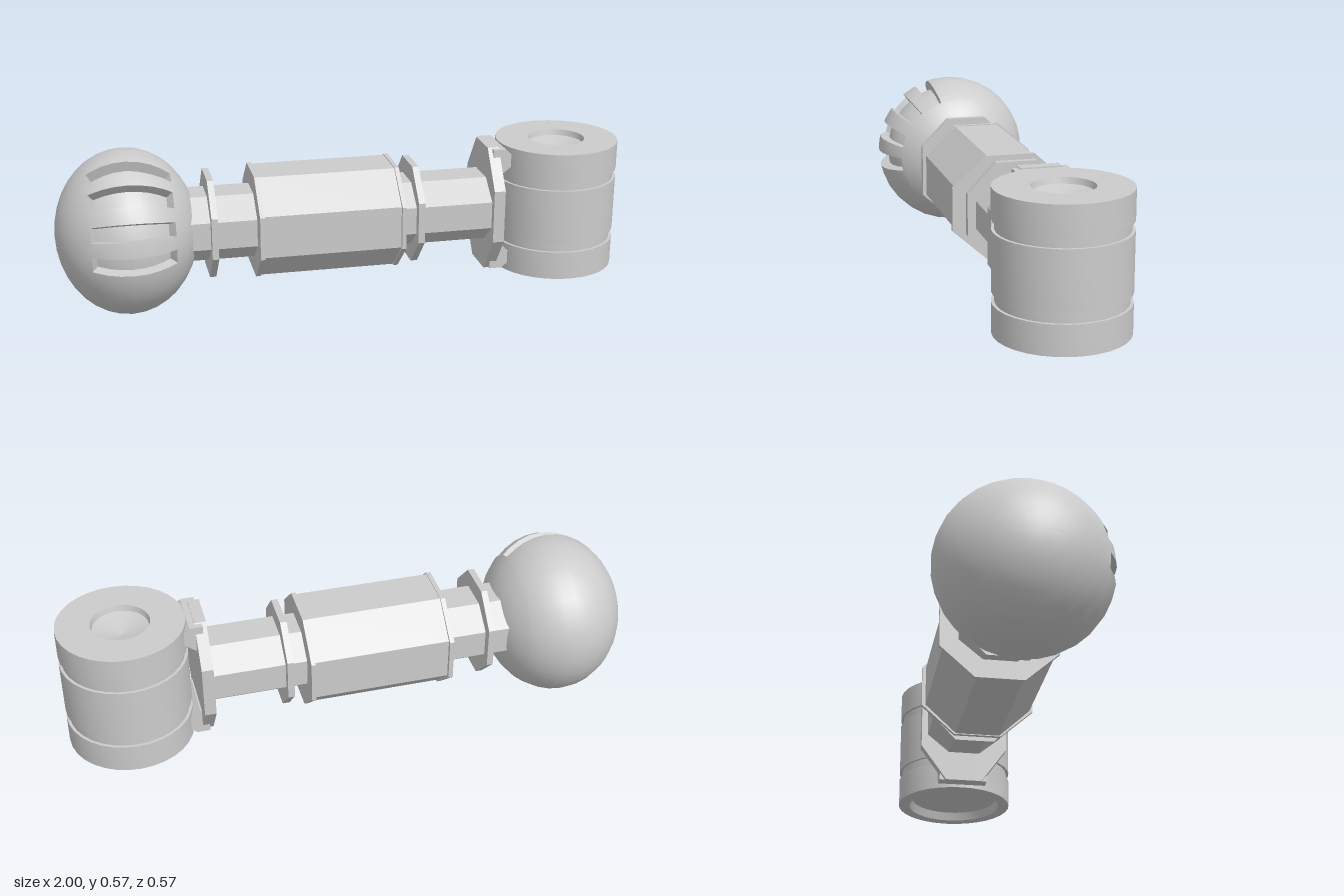
import * as THREE from 'three';
import { toCreasedNormals } from 'three/addons/utils/BufferGeometryUtils.js';

const material = new THREE.MeshStandardMaterial({ color: 0xcccccc, side: THREE.DoubleSide });
const AXIS_Y = 0.293;
const rad = THREE.MathUtils.degToRad;

// Octagonal prism along x, flats facing up and sideways
function octagon(name, x0, x1, halfY, halfZ) {
  const r = 1 / Math.cos(Math.PI / 8);
  const geometry = new THREE.CylinderGeometry(r, r, x1 - x0, 8);
  geometry.rotateY(Math.PI / 8).rotateZ(Math.PI / 2).scale(1, halfY, halfZ);
  const mesh = new THREE.Mesh(toCreasedNormals(geometry, 0.5), material);
  mesh.name = name;
  mesh.position.set((x0 + x1) / 2, AXIS_Y, 0);
  return mesh;
}

// Ball with four slots sunk into its upper front; poles lie on x
function slottedBall() {
  const slots = [[-11.5, 1], [12, 24], [36, 51], [62, 73]];
  const span = [52, 122];
  const edge = 0.3;
  const around = new Set();
  for (let a = -90; a <= 270; a += 12) around.add(a);
  for (const [a, b] of slots) [a, a + edge, b - edge, b].forEach(v => around.add(v));
  const along = new Set();
  for (let a = 0; a <= 180; a += 10) along.add(a);
  span.forEach((v, i) => { along.add(v); along.add(v + (i ? -edge : edge)); });
  const A = [...around].sort((p, q) => p - q);
  const L = [...along].sort((p, q) => p - q);

  const geometry = new THREE.SphereGeometry(1, A.length - 1, L.length - 1);
  const pos = geometry.attributes.position;
  for (let i = 0; i < pos.count; i++) {
    const a = A[i % A.length], l = L[Math.floor(i / A.length)];
    const sunk = l > span[0] + 0.1 && l < span[1] - 0.1 &&
      slots.some(([p, q]) => a > p + 0.1 && a < q - 0.1);
    const r = sunk ? 0.87 : 1;
    const ring = Math.sin(rad(l)) * r * 0.286;
    pos.setXYZ(i, Math.cos(rad(l)) * r * 0.243, Math.sin(rad(a)) * ring, Math.cos(rad(a)) * ring);
  }
  const mesh = new THREE.Mesh(toCreasedNormals(geometry, 0.6), material);
  mesh.name = 'slottedBall';
  mesh.position.set(-0.757, 0.286, 0);
  return mesh;
}

// Upright drum: three bands, two grooves, dimpled top and recessed underside
function drum() {
  const profile = [
    [0, 0.09], [0.165, 0.09], [0.175, 0.06], [0.217, 0.06], [0.217, 0.16],
    [0.207, 0.16], [0.207, 0.193], [0.217, 0.193], [0.217, 0.388], [0.207, 0.388],
    [0.207, 0.42], [0.217, 0.42], [0.217, 0.52], [0.1, 0.52], [0.095, 0.5], [0, 0.47],
  ].map(([r, y]) => new THREE.Vector2(r, y));
  const mesh = new THREE.Mesh(toCreasedNormals(new THREE.LatheGeometry(profile, 32), 0.5), material);
  mesh.name = 'jointDrum';
  mesh.position.x = 0.782;
  return mesh;
}

// Pointed prong joining the end plate to an outer band of the drum
function prong(name, side) {
  const points = [[0.52, 0.13], [0.55, 0.13], [0.615, 0.18], [0.565, 0.222], [0.52, 0.222]]
    .map(([x, y]) => new THREE.Vector2(x, y * side));
  const geometry = new THREE.ExtrudeGeometry(new THREE.Shape(points), { depth: 0.18, bevelEnabled: false });
  const mesh = new THREE.Mesh(geometry.translate(0, AXIS_Y, -0.09), material);
  mesh.name = name;
  return mesh;
}

export function createModel() {
  const group = new THREE.Group();
  group.name = 'jointedArm';
  group.add(
    slottedBall(),
    octagon('armRod', -0.56, 0.52, 0.115, 0.14),
    octagon('ballFlange', -0.485, -0.463, 0.175, 0.172),
    octagon('sleeve', -0.315, 0.172, 0.178, 0.19),
    octagon('sleeveEndRight', -0.326, -0.31, 0.181, 0.203),
    octagon('sleeveEndLeft', 0.165, 0.18, 0.181, 0.203),
    octagon('drumFlange', 0.232, 0.255, 0.175, 0.168),
    octagon('endPlate', 0.505, 0.545, 0.226, 0.163),
    prong('upperProng', 1),
    prong('lowerProng', -1),
    drum(),
  );
  return group;
}
